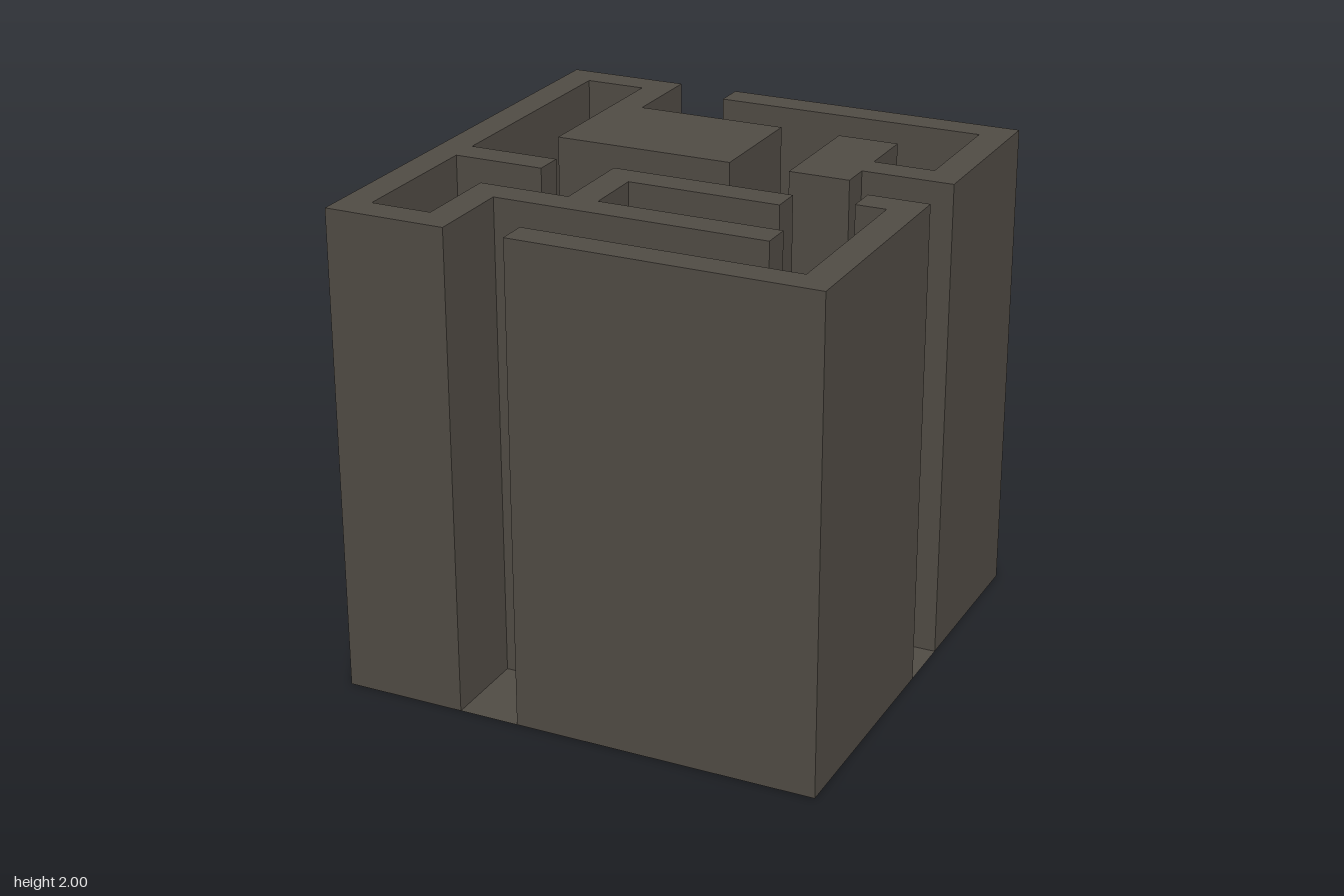
import * as THREE from 'three';

const HEIGHT = 2;

// Plan outlines as [x, z] in eighths of a unit, counter-clockwise from above
const LEFT = [
  [-8, 8], [-4, 8], [-4, 5], [5, 5], [5, 4], [-1, 4], [-1, 2], [4, 2], [4, 1],
  [-2, 1], [-2, 4], [-5, 4], [-5, 7], [-7, 7], [-7, 2], [-4, 2], [-4, 1],
  [-7, 1], [-7, -7], [-5, -7], [-5, -1], [1, -1], [1, -5], [-4, -5], [-4, -8], [-8, -8],
];
const BACK = [
  [8, -2], [8, -8], [-2, -8], [-2, -7], [7, -7], [7, -3], [5, -3], [5, -5],
  [3, -5], [3, -1], [5, -1], [5, -2],
];
const FRONT = [[-2, 8], [8, 8], [8, 0], [6, 0], [6, 1], [7, 1], [7, 7], [-2, 7]];

// Corridor outline: the inner edges of the three walls, joined at the openings
const CORRIDOR = [...LEFT.slice(1, -1), ...BACK.slice(2), BACK[0], ...FRONT.slice(2), FRONT[0]];

// Flat horizontal face, looking up
function flatFace(outline, y) {
  const shape = new THREE.Shape(outline.map(([x, z]) => new THREE.Vector2(x / 8, -z / 8)));
  return new THREE.ShapeGeometry(shape).rotateX(-Math.PI / 2).translate(0, y, 0);
}

// Upright faces along every edge of an outline
function uprightFaces(outline) {
  const positions = [];
  outline.forEach(([ax, az], i) => {
    const [bx, bz] = outline[(i + 1) % outline.length];
    const a0 = [ax / 8, 0, az / 8], a1 = [ax / 8, HEIGHT, az / 8];
    const b0 = [bx / 8, 0, bz / 8], b1 = [bx / 8, HEIGHT, bz / 8];
    positions.push(...a0, ...b0, ...b1, ...a0, ...b1, ...a1);
  });
  const geometry = new THREE.BufferGeometry();
  geometry.setAttribute('position', new THREE.Float32BufferAttribute(positions, 3));
  geometry.computeVertexNormals();
  return geometry;
}

export function createModel() {
  const model = new THREE.Group();
  model.name = 'maze';
  const stone = new THREE.MeshStandardMaterial({ color: 0x504b44, side: THREE.DoubleSide });
  stone.name = 'dark stone';

  const add = (parent, name, geometry) => {
    const mesh = new THREE.Mesh(geometry, stone);
    mesh.name = name;
    parent.add(mesh);
  };

  // Hollow walls, open underneath
  for (const [name, outline] of Object.entries({ leftWall: LEFT, backWall: BACK, frontWall: FRONT })) {
    const wall = new THREE.Group();
    wall.name = name;
    add(wall, name + 'Sides', uprightFaces(outline));
    add(wall, name + 'Top', flatFace(outline, HEIGHT));
    model.add(wall);
  }

  // Corridor floor between the walls
  add(model, 'corridorFloor', flatFace(CORRIDOR, 0));
  return model;
}
